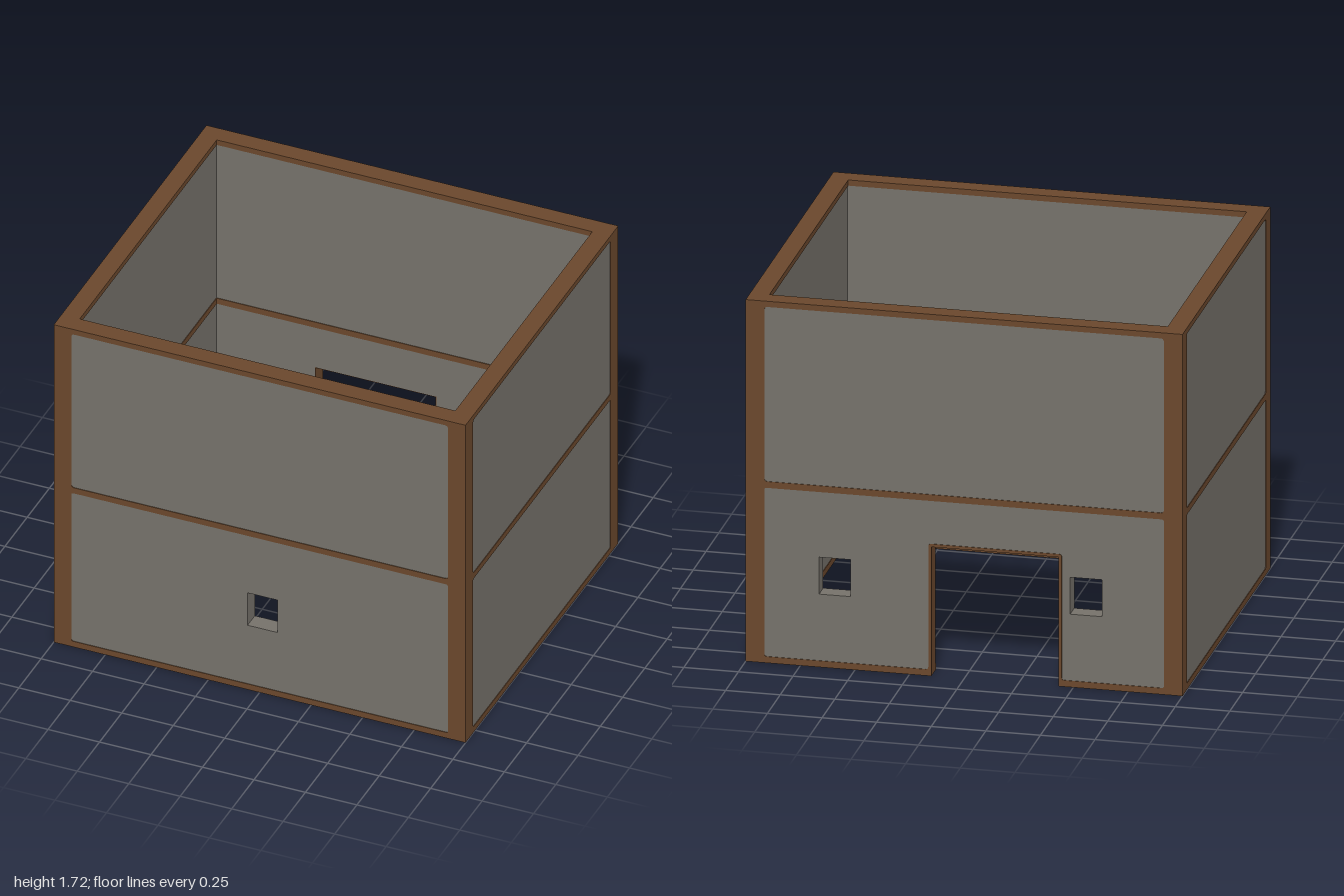
import * as THREE from 'three';

const H = 1.715, D = 0.8575, T = 0.085; // height, half depth, wall thickness
const E = 0.003; // thickness of the timber facing
const STRIPS = [[0, 0.03], [0.83, 0.86], [1.688, H]];
const WIN_Y = [0.345, 0.52];

const stone = new THREE.MeshStandardMaterial({ color: 0x75716a });
stone.name = 'grey stone';
const wood = new THREE.MeshStandardMaterial({ color: 0x6a472c });
wood.name = 'brown timber';

function add(group, name, geometry, material) {
  const mesh = new THREE.Mesh(geometry, material);
  mesh.name = name;
  group.add(mesh);
  return mesh;
}

function block(group, name, material, [x0, x1], [y0, y1], [z0, z1]) {
  add(group, name, new THREE.BoxGeometry(x1 - x0, y1 - y0, z1 - z0), material)
    .position.set((x0 + x1) / 2, (y0 + y1) / 2, (z0 + z1) / 2);
}

// Rectangle outline with an optional notch cut up from its lower edge
function outline(x0, x1, y0, y1, notch) {
  const p = [[x0, y0]];
  if (notch) p.push([notch.x0, y0], [notch.x0, notch.top], [notch.x1, notch.top], [notch.x1, y0]);
  p.push([x1, y0], [x1, y1], [x0, y1]);
  return p.map(([x, y]) => new THREE.Vector2(x, y));
}

// The same outline with softened corners
function soften(points, r) {
  const path = new THREE.Path();
  points.forEach((p, i) => {
    const towards = (q) => p.clone().add(q.clone().sub(p).setLength(r));
    const a = towards(points[(i + points.length - 1) % points.length]);
    const b = towards(points[(i + 1) % points.length]);
    if (i) path.lineTo(a.x, a.y);
    else path.moveTo(a.x, a.y);
    path.quadraticCurveTo(p.x, p.y, b.x, b.y);
  });
  path.closePath();
  return path;
}

function slab(shape, depth) {
  return new THREE.ExtrudeGeometry(shape, { depth, bevelEnabled: false, curveSegments: 4 });
}

const grow = (door, d) => door && { x0: door.x0 - d, x1: door.x1 + d, top: door.top + d };

// One wall, with its outer face on local z = 0 and facing +z
function makeWall(name, half, coreHalf, innerHalf, windows, door) {
  const wall = new THREE.Group();
  wall.name = name;

  // Stone body with window openings
  const body = new THREE.Shape(outline(-coreHalf, coreHalf, E, H - E, grow(door, E)));
  for (const [x0, x1] of windows) {
    body.holes.push(new THREE.Path(outline(x0, x1, ...WIN_Y)));
  }
  add(wall, name + 'Stone', slab(body, T - E), stone).position.z = -T;

  // Outer timber frame around the two panels
  const frame = new THREE.Shape(outline(-half, half, 0, H, door));
  const edge = half - T;
  frame.holes.push(
    soften(outline(-edge, edge, STRIPS[0][1], STRIPS[1][0], grow(door, 0.014)), 0.012),
    soften(outline(-edge, edge, STRIPS[1][1], STRIPS[2][0]), 0.016),
  );
  add(wall, name + 'Frame', slab(frame, E), wood).position.z = -E;

  // Top and bottom caps and the inner strips, parted at the door
  const spans = (h) => (door ? [[-h, door.x0], [door.x1, h]] : [[-h, h]]);
  block(wall, 'topCap', wood, [-coreHalf, coreHalf], [H - E, H], [-T, -E]);
  for (const s of spans(coreHalf)) block(wall, 'bottomCap', wood, s, [0, E], [-T, -E]);
  STRIPS.forEach((y, i) => {
    const parts = i ? [[-innerHalf, innerHalf]] : spans(innerHalf);
    for (const s of parts) block(wall, 'innerStrip', wood, s, y, [-T - E, -T]);
  });

  // Timber lining of the doorway
  if (door) {
    const z = [-T, -E];
    block(wall, 'doorJamb', wood, [door.x0 - E, door.x0], [0, door.top], z);
    block(wall, 'doorJamb', wood, [door.x1, door.x1 + E], [0, door.top], z);
    block(wall, 'doorLintel', wood, [door.x0 - E, door.x1 + E], [door.top, door.top + E], z);
  }
  return wall;
}

export function createModel() {
  const model = new THREE.Group();
  model.name = 'roofless house';

  const front = makeWall('frontWall', 1, 1 - E, 1 - T, [[-0.06, 0.085]]);
  front.position.z = D;

  const door = { x0: -0.15, x1: 0.433, top: 0.612 };
  const back = makeWall('backWall', 1, 1 - E, 1 - T, [[-0.665, -0.52], [0.485, 0.63]], door);
  back.position.z = -D;
  back.rotation.y = Math.PI;

  model.add(front, back);
  for (const side of [1, -1]) {
    const wall = makeWall(side > 0 ? 'leftWall' : 'rightWall', D, D - T, D - T, []);
    wall.position.x = side;
    wall.rotation.y = side * Math.PI / 2;
    model.add(wall);
  }
  return model;
}
